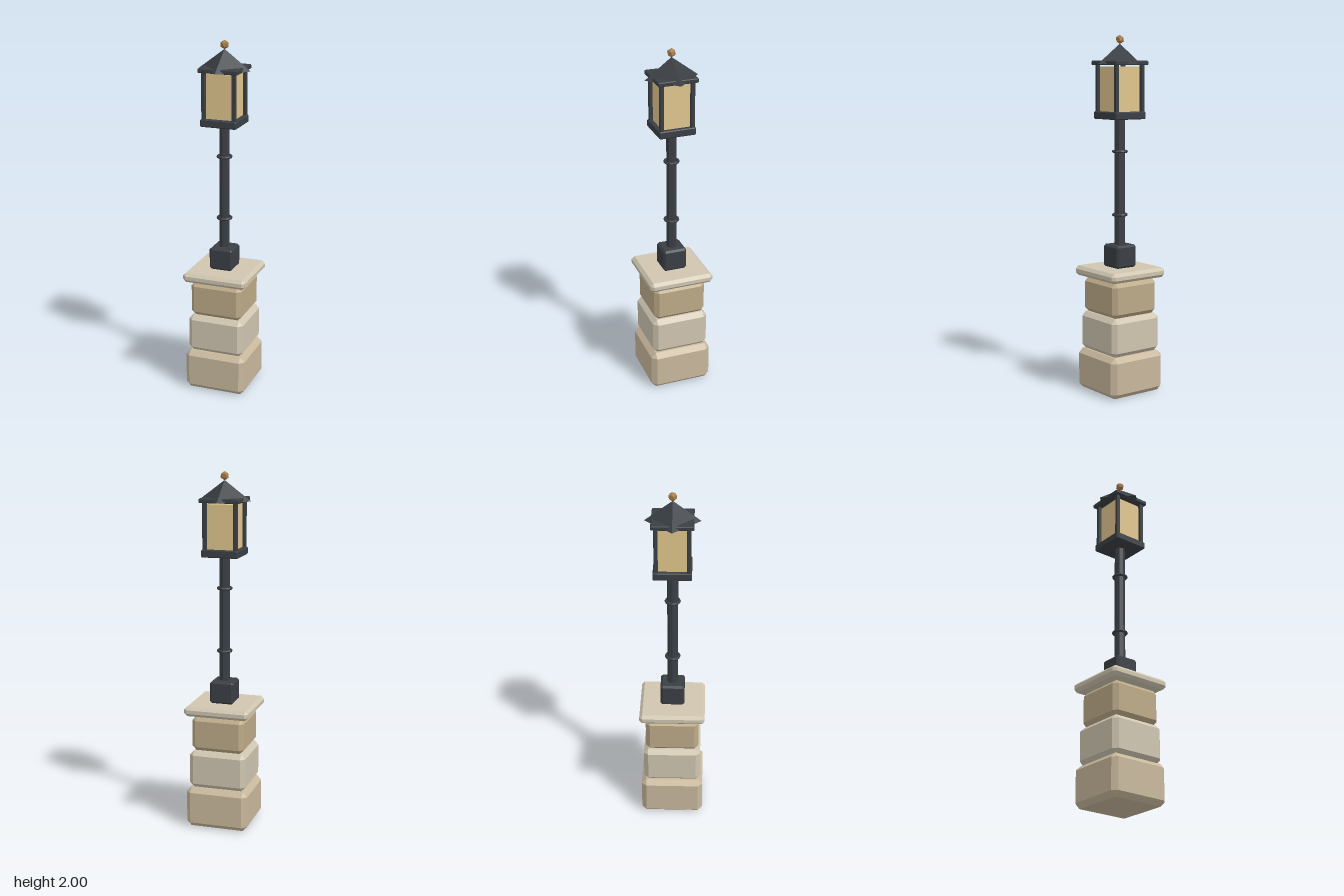
import * as THREE from 'three';
import { ConvexGeometry } from 'three/addons/geometries/ConvexGeometry.js';

const material = (color) => new THREE.MeshStandardMaterial({ color, flatShading: true });

// Box with every edge chamfered: hull of three slightly shrunken slabs
function chamferedBox(w, h, d, c) {
  const points = [];
  const half = [w / 2, h / 2, d / 2];
  for (const sx of [-1, 1]) for (const sy of [-1, 1]) for (const sz of [-1, 1]) {
    for (let full = 0; full < 3; full++) {
      const [x, y, z] = half.map((v, i) => (i === full ? v : v - c));
      points.push(new THREE.Vector3(sx * x, sy * y, sz * z));
    }
  }
  return new ConvexGeometry(points);
}

export function createModel() {
  const model = new THREE.Group();
  model.name = 'lampPost';

  const metal = material(0x3a3f44);
  const lightStone = material(0xcfc5b0);
  const glass = material(0xe0c58c);
  const brass = material(0xa67c45);

  function add(name, geometry, mat, x, y, z, parent = model) {
    const mesh = new THREE.Mesh(geometry, mat);
    mesh.name = name;
    mesh.position.set(x, y, z);
    parent.add(mesh);
    return mesh;
  }
  // Square block between two heights
  const block = (name, half, y0, y1, chamfer, mat, parent) =>
    add(name, chamferedBox(half * 2, y1 - y0, half * 2, chamfer), mat, 0, (y0 + y1) / 2, 0, parent);

  // Stone pedestal
  const pedestal = new THREE.Group();
  pedestal.name = 'pedestal';
  model.add(pedestal);
  block('lowerStone', 0.178, 0, 0.232, 0.027, material(0xc8b89c), pedestal);
  block('middleStone', 0.163, 0.232, 0.448, 0.025, lightStone, pedestal);
  block('upperStone', 0.151, 0.448, 0.648, 0.024, material(0xbcaa88), pedestal);
  block('capStone', 0.185, 0.655, 0.71, 0.017, lightStone, pedestal);

  // Pole with foot and two collars
  block('poleFoot', 0.068, 0.71, 0.837, 0.011, metal);
  add('pole', new THREE.CylinderGeometry(0.03, 0.03, 0.73, 8), metal, 0, 1.185, 0);
  for (const y of [1.005, 1.36]) {
    const collar = add('poleCollar', new THREE.TorusGeometry(0.037, 0.008, 6, 12), metal, 0, y, 0);
    collar.rotation.x = Math.PI / 2;
  }

  // Lantern
  const lantern = new THREE.Group();
  lantern.name = 'lantern';
  model.add(lantern);
  block('lanternBase', 0.104, 1.54, 1.582, 0.005, metal, lantern);
  add('lanternGlass', new THREE.BoxGeometry(0.158, 0.247, 0.158), glass, 0, 1.7035, 0, lantern);
  for (const x of [-1, 1]) for (const z of [-1, 1]) {
    add('cornerPost', chamferedBox(0.022, 0.262, 0.022, 0.003), metal, x * 0.087, 1.709, z * 0.087, lantern);
  }

  // Roof: square eave plate crossed by a four-sided pyramid
  block('eavePlate', 0.113, 1.835, 1.859, 0.004, metal, lantern);
  add('roof', new THREE.ConeGeometry(0.15, 0.112, 4), metal, 0, 1.896, 0, lantern);

  // Faceted finial standing on one vertex
  const finial = add('finial', new THREE.IcosahedronGeometry(0.025, 0), brass, 0, 1.975, 0, lantern);
  finial.rotation.z = Math.atan(2 / (1 + Math.sqrt(5)));

  return model;
}
